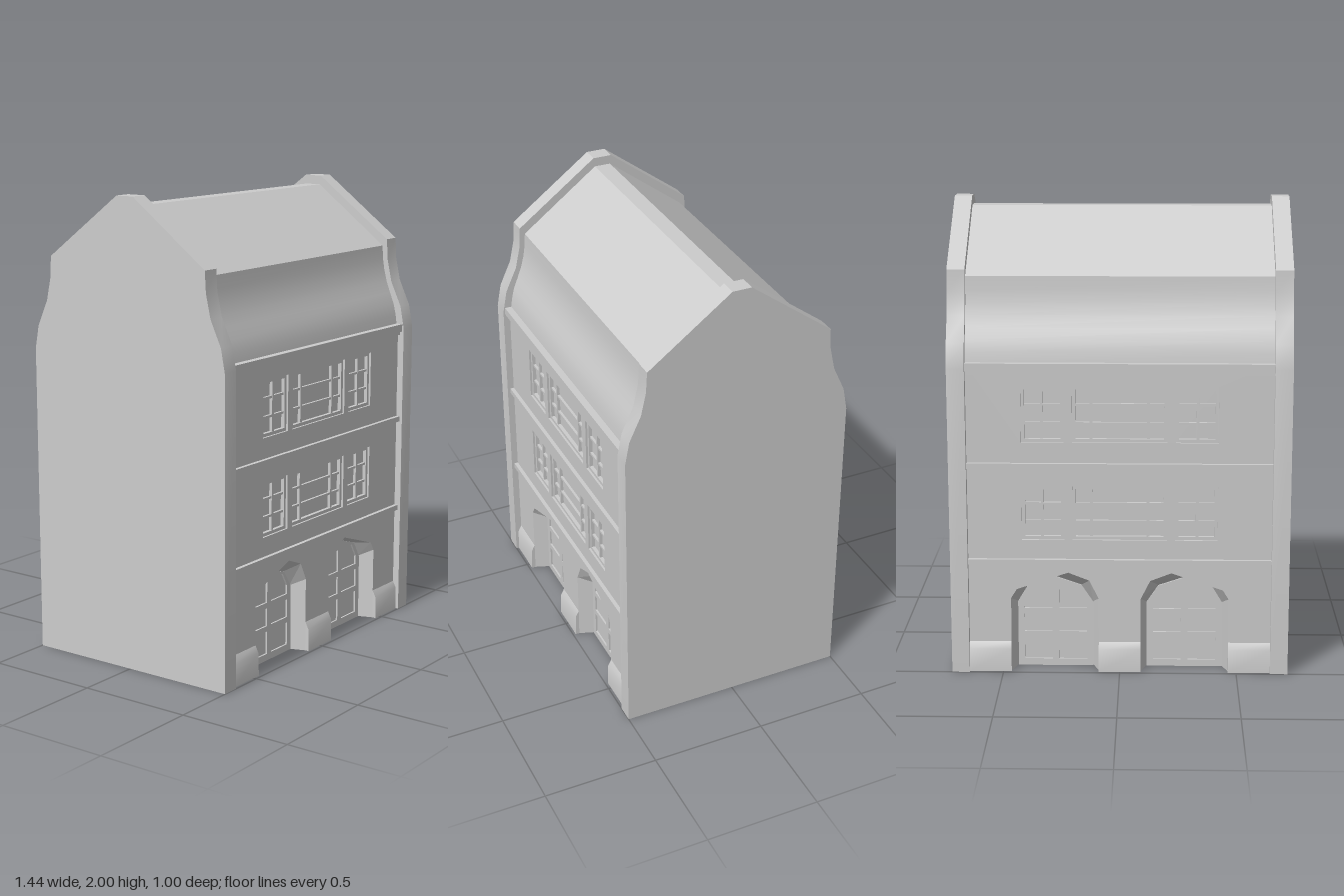
import * as THREE from 'three';
import { toCreasedNormals } from 'three/addons/utils/BufferGeometryUtils.js';

const stone = new THREE.MeshStandardMaterial({ color: 0xcccccc, side: THREE.DoubleSide });
stone.name = 'pale grey';

const HALF = 0.645;   // half width between the gable walls
const WALL = 0.47;    // front face of the wall
const CORE = 0.4;     // back of the recesses

function add(parent, name, geometry, x = 0, y = 0, z = 0) {
  const mesh = new THREE.Mesh(geometry, stone);
  mesh.name = name;
  mesh.position.set(x, y, z);
  parent.add(mesh);
  return mesh;
}

// Box given by its limits
function block(parent, name, x0, x1, y0, y1, z0, z1) {
  return add(parent, name, new THREE.BoxGeometry(x1 - x0, y1 - y0, z1 - z0),
    (x0 + x1) / 2, (y0 + y1) / 2, (z0 + z1) / 2);
}

const polygon = (pts, Type = THREE.Shape) => new Type(pts.map(p => new THREE.Vector2(p[0], p[1])));
const rect = (x0, x1, y0, y1) => [[x0, y0], [x1, y0], [x1, y1], [x0, y1]];
const extrude = (shape, depth) => new THREE.ExtrudeGeometry(shape, { depth, bevelEnabled: false });

// Profile of (z, y) points drawn out along x from x0 to x1
function drawAcross(pts, x0, x1) {
  const g = extrude(polygon(pts), x1 - x0);
  g.rotateY(-Math.PI / 2);
  g.translate(x1, 0, 0);
  return toCreasedNormals(g, 0.5);
}

// Front half of a profile mirrored to the back
const bothSides = pts => [...pts, ...pts.map(([z, y]) => [-z, y]).reverse()];

// Outer edge and inner edge of the splayed door arch
const archOuter = [[-0.465, 0], [-0.465, 0.325], [-0.44, 0.365], [-0.22, 0.44], [-0.13, 0.405], [-0.09, 0.325], [-0.09, 0]];
const archInner = [[-0.44, 0], [-0.44, 0.29], [-0.395, 0.365], [-0.278, 0.403], [-0.165, 0.365], [-0.115, 0.29], [-0.115, 0]];
const mirror = pts => pts.map(([x, y]) => [-x, y]).reverse();

// Window openings: x limits and bar positions
const windows = [
  { x0: -0.415, x1: -0.235, bars: [-0.328] },
  { x0: -0.2, x1: 0.2, bars: [-0.12, 0.12] },
  { x0: 0.235, x1: 0.415, bars: [0.328] },
];
const storeys = [[0.585, 0.82], [1.01, 1.25]];

function makeWindow(w, y0, y1) {
  const group = new THREE.Group();
  group.name = 'window';
  const { x0, x1, bars } = w;
  block(group, 'windowPane', x0, x1, y0, y1, CORE, WALL - 0.025);
  // Frame set just inside the opening
  const frame = polygon(rect(x0, x1, y0, y1));
  frame.holes.push(polygon(rect(x0 + 0.014, x1 - 0.014, y0 + 0.014, y1 - 0.014), THREE.Path));
  add(group, 'windowFrame', extrude(frame, 0.018), 0, 0, WALL - 0.027);
  for (const x of bars) block(group, 'upright', x - 0.006, x + 0.006, y0, y1, WALL - 0.026, WALL - 0.012);
  for (const t of [1 / 3, 2 / 3]) {
    const y = y0 + (y1 - y0) * t;
    block(group, 'crossbar', x0, x1, y - 0.005, y + 0.005, WALL - 0.026, WALL - 0.014);
  }
  return group;
}

function makeDoor(outer, inner) {
  const group = new THREE.Group();
  group.name = 'door';
  // Splayed reveal between the two arch edges
  const pos = [];
  for (let i = 0; i < outer.length - 1; i++) {
    const a = [...outer[i], WALL], b = [...outer[i + 1], WALL];
    const c = [...inner[i + 1], CORE], d = [...inner[i], CORE];
    pos.push(...a, ...b, ...c, ...a, ...c, ...d);
  }
  const reveal = new THREE.BufferGeometry();
  reveal.setAttribute('position', new THREE.Float32BufferAttribute(pos, 3));
  reveal.computeVertexNormals();
  add(group, 'doorReveal', reveal);
  // Door leaves with sunk panels
  const leaf = polygon(inner);
  const mid = (inner[0][0] + inner[6][0]) / 2;
  for (const s of [-1, 1]) {
    for (const [y0, y1, top] of [[0.03, 0.13, 0.13], [0.155, 0.235, 0.235], [0.26, 0.36, 0.3]]) {
      const xa = mid + s * 0.015, xb = mid + s * 0.135;
      leaf.holes.push(polygon([[xa, y0], [xb, y0], [xb, top], [mid + s * 0.1, y1], [xa, y1]], THREE.Path));
    }
  }
  add(group, 'doorLeaves', extrude(leaf, 0.008), 0, 0, CORE);
  return group;
}

// One complete facade facing +z
function makeFacade() {
  const group = new THREE.Group();
  group.name = 'facade';
  const doors = [[archOuter, archInner], [mirror(archOuter), mirror(archInner)]];

  // Wall with door and window openings
  const wall = polygon([[-HALF, 0], ...archOuter, ...mirror(archOuter), [HALF, 0], [HALF, 1.35], [-HALF, 1.35]]);
  for (const [y0, y1] of storeys) {
    for (const w of windows) {
      wall.holes.push(polygon(rect(w.x0, w.x1, y0, y1), THREE.Path));
      group.add(makeWindow(w, y0, y1));
    }
  }
  add(group, 'wall', extrude(wall, WALL - CORE), 0, 0, CORE);
  for (const [outer, inner] of doors) group.add(makeDoor(outer, inner));

  // Sloping plinth between the doors
  const plinth = [[WALL - 0.01, 0], [0.488, 0], [0.485, 0.1], [WALL, 0.13], [WALL - 0.01, 0.13]];
  for (const [x0, x1] of [[-HALF, -0.465], [-0.09, 0.09], [0.465, HALF]]) {
    add(group, 'plinth', drawAcross(plinth, x0, x1));
  }

  // String courses and cornice
  for (const y of [0.478, 0.898]) block(group, 'stringCourse', -HALF, HALF, y, y + 0.024, CORE, 0.487);
  block(group, 'corniceLower', -HALF, HALF, 1.3, 1.316, CORE, 0.48);
  block(group, 'corniceUpper', -HALF, HALF, 1.316, 1.35, CORE, 0.492);
  return group;
}

export function createModel() {
  const model = new THREE.Group();
  model.name = 'townHouse';

  // Solid middle of the house
  block(model, 'core', -HALF, HALF, 0, 1.35, -CORE, CORE);

  // Gable end walls with curved shoulders
  const gable = bothSides([[0.5, 0], [0.5, 1.33], [0.481, 1.43], [0.43, 1.54], [0.408, 1.64], [0.403, 1.73], [0.042, 2]]);
  for (const s of [-1, 1]) {
    add(model, 'gableWall', drawAcross(gable, s < 0 ? -0.72 : HALF, s < 0 ? -HALF : 0.72));
  }

  // Roof: flared lower slope and straight upper slope
  const roof = bothSides([[0.462, 1.345], [0.456, 1.39], [0.444, 1.44], [0.424, 1.49], [0.405, 1.54],
    [0.392, 1.59], [0.384, 1.64], [0.38, 1.7], [0.036, 1.96]]);
  add(model, 'roof', drawAcross(roof, -HALF, HALF));

  // Matching facades at front and back
  const front = makeFacade();
  const back = makeFacade();
  back.name = 'backFacade';
  back.rotation.y = Math.PI;
  model.add(front, back);
  return model;
}
